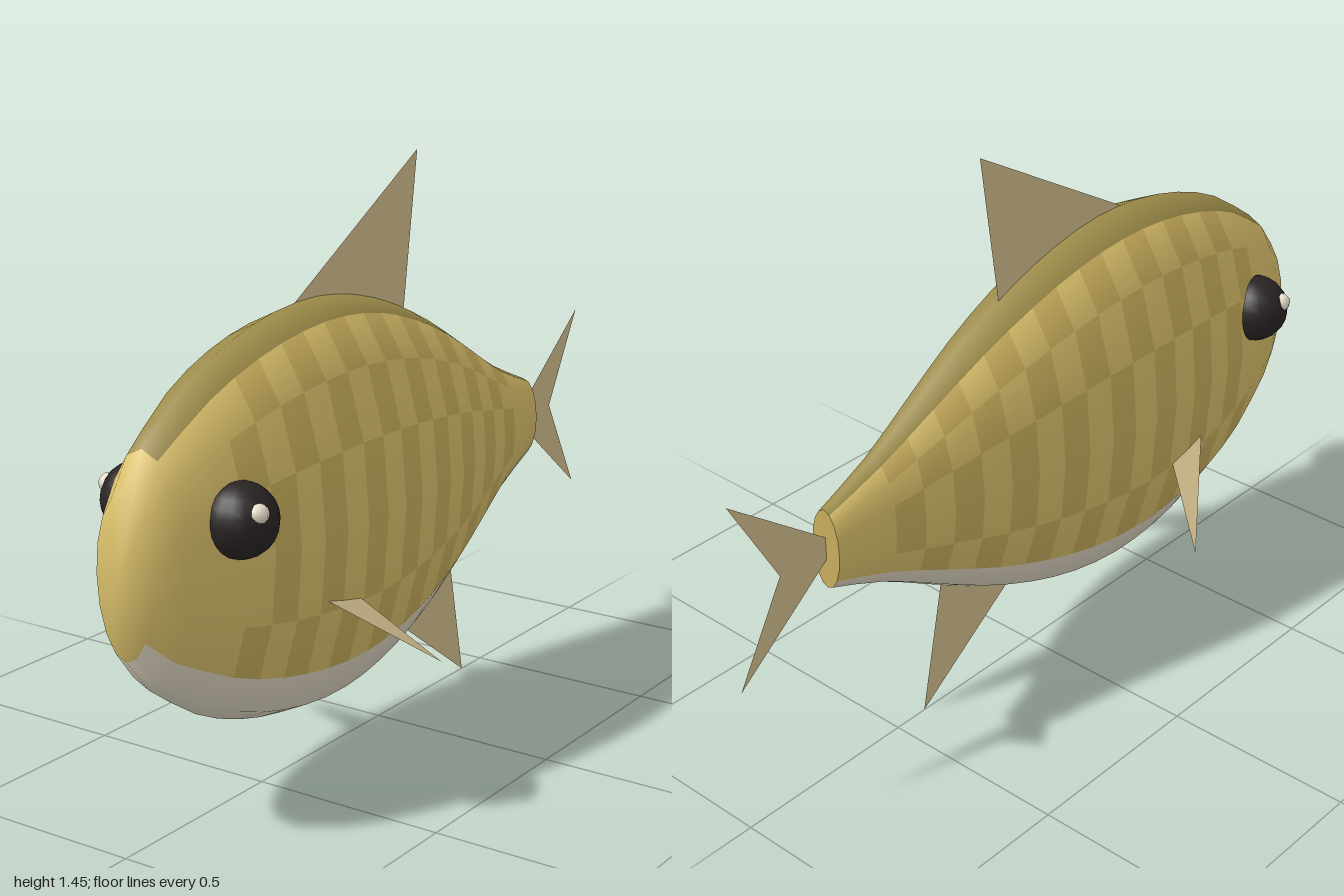
import * as THREE from 'three';

const SIDES = 16, MID_Y = 0.648, WIDTH = 0.41;
const mat = (color, side = THREE.FrontSide) => new THREE.MeshStandardMaterial({ color, side });

// Half height of the body along z: a blunt nose, then evenly spaced control points back to the tail root
function bodyRings() {
  const radii = [0.278, 0.39, 0.458, 0.495, 0.503, 0.48, 0.43, 0.358, 0.267, 0.175, 0.108];
  const curve = new THREE.SplineCurve(radii.map((r, k) => new THREE.Vector2(0.905 - 0.1615 * k, r)));
  return [new THREE.Vector2(1, 0), new THREE.Vector2(0.976, 0.19), ...curve.getPoints(20)];
}

// Which colour zone a body panel belongs to (row 0 = top, 7 = bottom)
function zoneOf(ring, row) {
  if (row >= 6) return ring >= 1 ? 'belly' : 'flank';
  if (row === 0) return ring >= 2 ? 'back' : 'flank';
  const shift = row === 2 || row === 5 ? 1 : 0;
  return ring >= 4 && ring <= 19 && (ring + shift) % 2 ? 'scales' : 'flank';
}

function buildBody() {
  const rings = bodyRings();
  const positions = [0, MID_Y, 1];
  for (const { x: z, y: r } of rings.slice(1)) {
    for (let j = 0; j < SIDES; j++) {
      const a = (j / SIDES) * Math.PI * 2;
      positions.push(WIDTH * r * Math.sin(a), MID_Y + r * Math.cos(a), z);
    }
  }
  const at = (i, j) => (i === 0 ? 0 : 1 + (i - 1) * SIDES + (j % SIDES));
  const zones = { flank: [], scales: [], back: [], belly: [] };
  const all = [];
  for (let i = 0; i < rings.length - 1; i++) {
    for (let j = 0; j < SIDES; j++) {
      const tris = [at(i, j + 1), at(i + 1, j), at(i + 1, j + 1)].slice();
      const [b, c, d] = tris;
      const panel = i === 0 ? [0, d, c] : [at(i, j), b, c, b, d, c];
      zones[zoneOf(i, Math.min(j, SIDES - 1 - j))].push(...panel);
      all.push(...panel);
    }
  }
  // Normals come from the whole skin so the zones blend smoothly
  const skin = new THREE.BufferGeometry();
  skin.setAttribute('position', new THREE.Float32BufferAttribute(positions, 3));
  skin.setIndex(all);
  skin.computeVertexNormals();

  const body = new THREE.Group();
  body.name = 'body';
  const colors = { flank: 0xdcc26c, scales: 0xcbb05e, back: 0x9c8b49, belly: 0xe2dac4 };
  for (const [name, index] of Object.entries(zones)) {
    const geometry = skin.clone();
    geometry.setIndex(index);
    const mesh = new THREE.Mesh(geometry, mat(colors[name]));
    mesh.name = name;
    body.add(mesh);
  }

  // Flat end where the tail fin joins
  const end = rings[rings.length - 1];
  const cap = new THREE.Mesh(new THREE.CircleGeometry(end.y, SIDES), mat(0xcbb05e));
  cap.name = 'tailRootCap';
  cap.scale.x = WIDTH;
  cap.rotation.y = Math.PI;
  cap.position.set(0, MID_Y, end.x);
  body.add(cap);
  return body;
}

// Thin fin in the middle plane, outlined by [z, y] points
function flatFin(name, outline, material) {
  const shape = new THREE.Shape(outline.map(([z, y]) => new THREE.Vector2(-z, y)));
  const fin = new THREE.Mesh(new THREE.ShapeGeometry(shape), material);
  fin.name = name;
  fin.rotation.y = Math.PI / 2;
  return fin;
}

function sideFin(name, s, material) {
  const geometry = new THREE.BufferGeometry().setFromPoints([
    new THREE.Vector3(s * 0.185, 0.492, 0.48),
    new THREE.Vector3(s * 0.185, 0.468, 0.355),
    new THREE.Vector3(s * 0.352, 0.305, 0.25),
  ]);
  geometry.setIndex(s > 0 ? [0, 2, 1] : [0, 1, 2]);
  geometry.computeVertexNormals();
  const fin = new THREE.Mesh(geometry, material);
  fin.name = name;
  return fin;
}

function ball(name, radius, segments, color, x, y, z) {
  const mesh = new THREE.Mesh(new THREE.SphereGeometry(radius, segments, segments * 0.75), mat(color));
  mesh.name = name;
  mesh.position.set(x, y, z);
  return mesh;
}

export function createModel() {
  const model = new THREE.Group();
  model.name = 'fish';
  model.add(buildBody());

  // Fins
  const finMat = mat(0xd6c290, THREE.DoubleSide);
  model.add(
    flatFin('dorsalFin', [[0.45, 1.09], [-0.17, 1.45], [-0.1, 0.98]], finMat),
    flatFin('analFin', [[0, 0.29], [-0.405, 0], [-0.32, 0.42]], finMat),
    flatFin('tailFin', [[-0.67, 0.65], [-0.995, 0.9], [-0.855, 0.648], [-0.995, 0.395]], finMat),
  );

  // Paired fins and eyes
  for (const [side, s] of [['left', 1], ['right', -1]]) {
    model.add(
      sideFin(side + 'PectoralFin', s, finMat),
      ball(side + 'Eye', 0.088, 16, 0x2a2424, s * 0.146, 0.752, 0.75),
      ball(side + 'EyeGlint', 0.024, 8, 0xe8e0cc, s * 0.214, 0.783, 0.773),
    );
  }
  return model;
}
